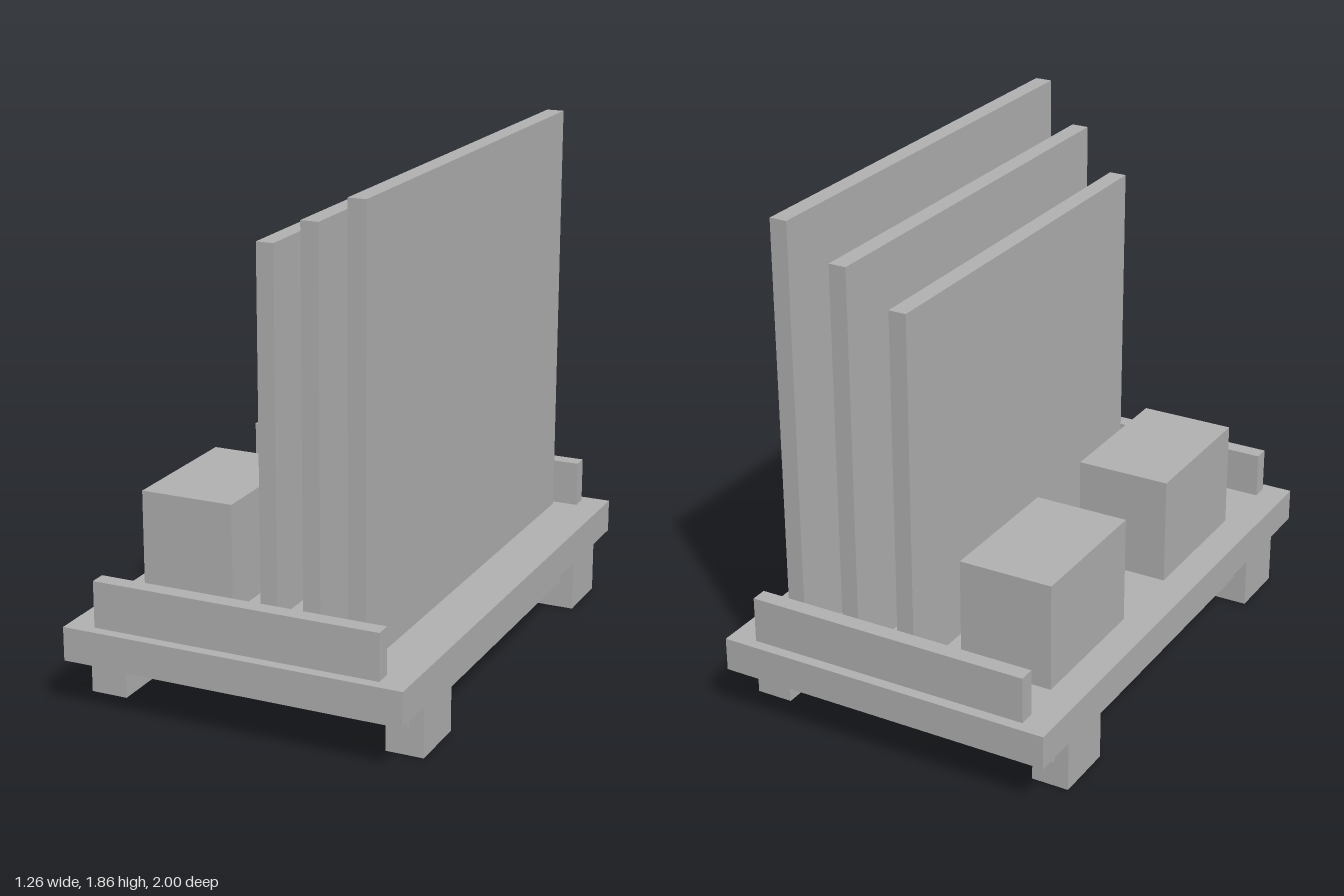
import * as THREE from 'three';

export function createModel() {
  const model = new THREE.Group();
  const grey = new THREE.MeshStandardMaterial({ color: 0xb2b2b2 });
  grey.name = 'plain grey';

  // Adds a box spanning the given [min, max] ranges
  function box(name, [x0, x1], [y0, y1], [z0, z1]) {
    const mesh = new THREE.Mesh(new THREE.BoxGeometry(x1 - x0, y1 - y0, z1 - z0), grey);
    mesh.position.set((x0 + x1) / 2, (y0 + y1) / 2, (z0 + z1) / 2);
    mesh.name = name;
    model.add(mesh);
  }

  const under = 0.184; // underside of the deck
  const deck = 0.307; // top of the deck

  // Deck with a shallow tray beneath it
  box('deck', [-0.63, 0.63], [under, deck], [-1, 1]);
  box('underTray', [-0.58, 0.58], [0.103, under], [-0.85, 0.85]);

  // Four corner feet
  for (const [side, x] of [['left', [0.493, 0.63]], ['right', [-0.63, -0.493]]]) {
    box(side + 'FrontFoot', x, [0, under], [0.597, 0.827]);
    box(side + 'BackFoot', x, [0, under], [-0.827, -0.597]);
  }

  // Low rails across both ends
  box('frontRail', [-0.53, 0.53], [deck, 0.476], [0.9, 0.96]);
  box('backRail', [-0.53, 0.53], [deck, 0.476], [-0.96, -0.9]);

  // Three upright panels, growing taller and longer, level at the back
  for (let i = 0; i < 3; i++) {
    const x = -0.064 + i * 0.221;
    box('panel' + (i + 1), [x, x + 0.064], [deck, 1.625 + i * 0.115], [-0.877, 0.636 + i * 0.118]);
  }

  // Two blocks beside the panels
  box('backBlock', [-0.513, -0.165], [deck, 0.702], [-0.737, -0.202]);
  box('frontBlock', [-0.513, -0.165], [deck, 0.702], [0.115, 0.648]);

  return model;
}
